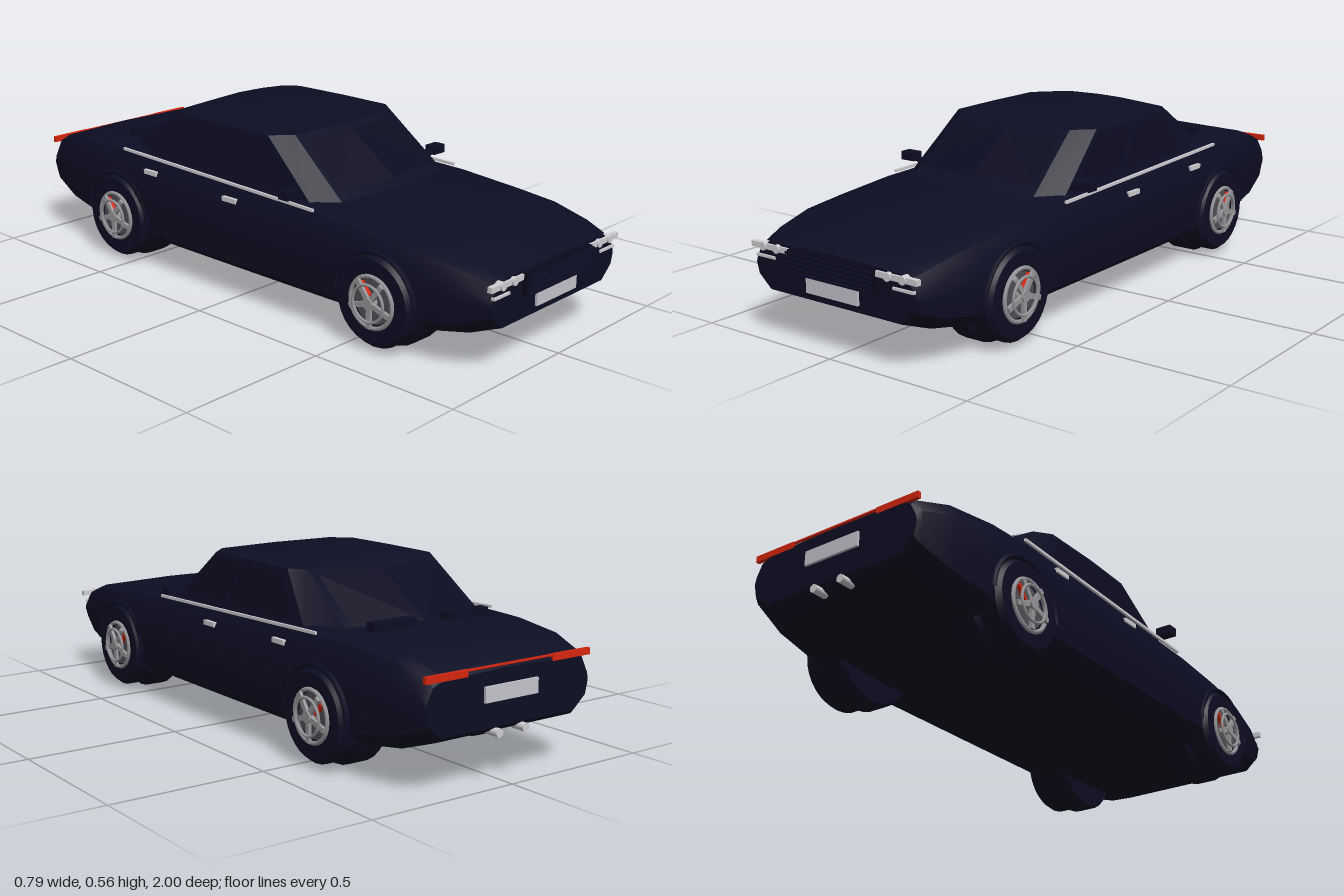
import * as THREE from 'three';
import { toCreasedNormals } from 'three/addons/utils/BufferGeometryUtils.js';

const mat = (name, color, side = THREE.FrontSide) => {
  const m = new THREE.MeshStandardMaterial({ color, side });
  m.name = name;
  return m;
};

export function createModel() {
  const car = new THREE.Group();
  car.name = 'coupe';
  const paint = mat('navy paint', 0x0d0d24);
  const glass = mat('dark glass', 0x0b0b20, THREE.DoubleSide);
  const black = mat('grille black', 0x08081a);
  const chrome = mat('chrome', 0xd0d0d4);
  const plateMat = mat('plate silver', 0xc4c4cc);
  const alloy = mat('alloy', 0x98989c);
  const disc = mat('brake disc', 0x505056);
  const red = mat('red', 0xd8260f);

  const add = (name, geo, material, x = 0, y = 0, z = 0, parent = car) => {
    const m = new THREE.Mesh(geo, material);
    m.name = name;
    m.position.set(x, y, z);
    parent.add(m);
    return m;
  };
  const box = (name, material, sx, sy, sz, x, y, z, parent) =>
    add(name, new THREE.BoxGeometry(sx, sy, sz), material, x, y, z, parent);

  // Half ring on the +x side, first and last points on the centre line
  const mirrorRing = (half) => [...half, ...half.slice(1, -1).reverse().map(([x, y, z]) => [-x, y, z])];

  // Skin a row of rings and close both ends
  const loft = (halves, crease) => {
    const rings = halves.map(mirrorRing), n = rings[0].length, v = [];
    const mid = (r) => [0, 1, 2].map((k) => r.reduce((s, p) => s + p[k], 0) / n);
    const last = rings[rings.length - 1], c0 = mid(rings[0]), c1 = mid(last);
    for (let j = 0; j < n; j++) {
      const k = (j + 1) % n;
      for (let i = 0; i < rings.length - 1; i++) {
        const a = rings[i][j], b = rings[i][k], c = rings[i + 1][k], d = rings[i + 1][j];
        v.push(...a, ...d, ...b, ...b, ...d, ...c);
      }
      v.push(...c0, ...rings[0][j], ...rings[0][k], ...c1, ...last[k], ...last[j]);
    }
    const g = new THREE.BufferGeometry();
    g.setAttribute('position', new THREE.Float32BufferAttribute(v, 3));
    return toCreasedNormals(g, crease);
  };

  // Lower body: z, half width, bottom, top
  const stations = [
    [0.975, 0.31, 0.15, 0.3], [0.88, 0.335, 0.115, 0.327], [0.75, 0.355, 0.09, 0.352],
    [0.6, 0.366, 0.085, 0.363], [0.38, 0.368, 0.083, 0.38], [0, 0.368, 0.083, 0.39],
    [-0.5, 0.366, 0.083, 0.405], [-0.68, 0.357, 0.09, 0.402], [-0.85, 0.337, 0.115, 0.387],
    [-0.965, 0.315, 0.155, 0.352], [-0.982, 0.308, 0.17, 0.335],
  ];
  const bodyRings = stations.map(([z, w, b, t]) => [
    [0, b, z], [w * 0.82, b, z], [w * 0.97, b + 0.04, z], [w, b + (t - b) * 0.5, z],
    [w * 0.985, t - 0.06, z], [w * 0.92, t - 0.02, z], [w * 0.8, t - 0.006, z], [0, t, z],
  ]);
  add('body', loft(bodyRings, 0.5), paint);

  // Cabin: crown, eave and base outlines
  const outline = (y, pts) => pts.map(([x, z]) => [x, y, z]);
  const crown = outline(0.564, [[0, -0.01], [0.1, -0.02], [0.16, -0.06], [0.168, -0.15], [0.16, -0.26], [0.1, -0.32], [0, -0.33]]);
  const eave = outline(0.543, [[0, 0.165], [0.22, 0.15], [0.28, 0.09], [0.285, -0.1], [0.28, -0.31], [0.24, -0.36], [0, -0.385]]);
  const base = outline(0.375, [[0, 0.4], [0.24, 0.365], [0.305, 0.29], [0.32, 0], [0.315, -0.45], [0.26, -0.6], [0, -0.66]]);
  add('cabin', loft([crown, eave, base], 0.4), paint);

  // Thin window panes laid over one cabin facet
  const pane = (name, k, s, u0, u1) => {
    const at = (u, t) => {
      const e = new THREE.Vector3(...eave[k]).lerp(new THREE.Vector3(...eave[k + 1]), u);
      return e.lerp(new THREE.Vector3(...base[k]).lerp(new THREE.Vector3(...base[k + 1]), u), t);
    };
    const [a, b, c, d] = [at(u0, 0.1), at(u0, 0.85), at(u1, 0.85), at(u1, 0.1)];
    const nrm = b.clone().sub(a).cross(d.clone().sub(a)).normalize().multiplyScalar(0.004);
    const q = [a, b, c, a, c, d].map((p) => p.clone().add(nrm));
    if (s < 0) q.reverse();
    const g = new THREE.BufferGeometry().setFromPoints(q.map((p) => p.setX(p.x * s)));
    g.computeVertexNormals();
    add(name, g, glass);
  };
  for (const s of [1, -1]) {
    pane('windscreen', 0, s, 0, 0.95);
    pane('frontSideWindow', 2, s, 0.1, 0.97);
    pane('rearSideWindow', 3, s, 0.03, 0.85);
    pane('rearWindow', 5, s, 0.08, 1);
  }

  // Wheel pointing along +x, with a wider inner shoulder
  const tyreGeo = toCreasedNormals(new THREE.LatheGeometry([
    [0, 0.21], [0.15, 0.21], [0.157, 0.22], [0.157, 0.285], [0.143, 0.298], [0.143, 0.358],
    [0.13, 0.374], [0.088, 0.374], [0.08, 0.36], [0, 0.36],
  ].map(([r, h]) => new THREE.Vector2(r, h)), 28), 0.6).rotateZ(-Math.PI / 2);
  const turned = (r, h) => new THREE.CylinderGeometry(r, r, h, 24).rotateZ(-Math.PI / 2);
  const ring = (r, t) => new THREE.TorusGeometry(r, t, 6, 28).rotateY(Math.PI / 2);
  const makeWheel = (s, z) => {
    const w = new THREE.Group();
    w.name = 'wheel';
    w.position.set(0, 0.157, z);
    if (s < 0) w.rotation.y = Math.PI;
    add('tyre', tyreGeo, paint, 0, 0, 0, w);
    add('brakeDisc', turned(0.07, 0.006), disc, 0.363, 0, 0, w);
    const cal = box('brakeCaliper', red, 0.012, 0.05, 0.026, 0.372, 0.032, -0.03 * s, w);
    cal.rotation.x = -0.7 * s;
    add('rimLip', ring(0.079, 0.007), alloy, 0.374, 0, 0, w);
    add('rimRing', ring(0.057, 0.005), alloy, 0.389, 0, 0, w);
    add('hub', turned(0.018, 0.03), alloy, 0.378, 0, 0, w);
    for (let i = 0; i < 5; i++) {
      const spoke = new THREE.Group();
      spoke.name = 'spoke';
      spoke.rotation.x = (i * Math.PI * 2) / 5 + Math.PI;
      box('spokeBar', alloy, 0.01, 0.066, 0.016, 0.383, 0.045, 0, spoke);
      w.add(spoke);
    }
    car.add(w);
    // Arch lip around the wheel
    const lip = new THREE.TorusGeometry(0.15, 0.009, 6, 20, Math.PI).rotateY(Math.PI / 2);
    add('wheelArch', lip, paint, s * 0.36, 0.157, z);
  };

  for (const s of [1, -1]) {
    makeWheel(s, 0.6);
    makeWheel(s, -0.56);

    // Belt trim and door handles
    const trim = box('beltTrim', chrome, 0.008, 0.009, 0.88, s * 0.342, 0.381, -0.1);
    trim.rotation.x = 0.027;
    box('frontDoorHandle', chrome, 0.012, 0.015, 0.06, s * 0.362, 0.333, 0);
    box('rearDoorHandle', chrome, 0.012, 0.015, 0.06, s * 0.361, 0.344, -0.38);

    // Door mirror on a short arm
    box('mirrorHousing', paint, 0.054, 0.028, 0.04, s * 0.352, 0.404, 0.25);
    const arm = box('mirrorArm', paint, 0.05, 0.012, 0.02, s * 0.315, 0.393, 0.25);
    arm.rotation.z = s * 0.4;

    // Headlamps
    box('lampBar', chrome, 0.15, 0.017, 0.016, s * 0.245, 0.28, 0.975);
    for (const x of [0.215, 0.27]) {
      add('headlamp', new THREE.CylinderGeometry(0.013, 0.013, 0.024, 16).rotateX(Math.PI / 2), chrome, s * x, 0.28, 0.976);
    }
    box('lowerLamp', chrome, 0.075, 0.008, 0.012, s * 0.267, 0.249, 0.975);

    // Tail lamp, exhaust and deck vent
    box('tailLamp', red, 0.15, 0.02, 0.012, s * 0.235, 0.337, -0.978);
    add('exhaust', new THREE.CylinderGeometry(0.013, 0.013, 0.05, 14).rotateX(Math.PI / 2), chrome, s * 0.05, 0.155, -0.972);
    box('deckVent', paint, 0.16, 0.028, 0.035, s * 0.14, 0.41, -0.635);
  }

  // Grille with slats
  box('grille', black, 0.33, 0.07, 0.02, 0, 0.255, 0.98);
  for (let i = 0; i < 5; i++) box('grilleSlat', paint, 0.33, 0.006, 0.012, 0, 0.227 + i * 0.014, 0.994);

  // Number plates and the thin rear light strip
  box('frontPlate', plateMat, 0.2, 0.046, 0.008, 0, 0.195, 0.98);
  box('rearPlate', plateMat, 0.2, 0.046, 0.008, 0, 0.268, -0.986);
  box('rearLightStrip', red, 0.32, 0.005, 0.008, 0, 0.344, -0.978);

  return car;
}
